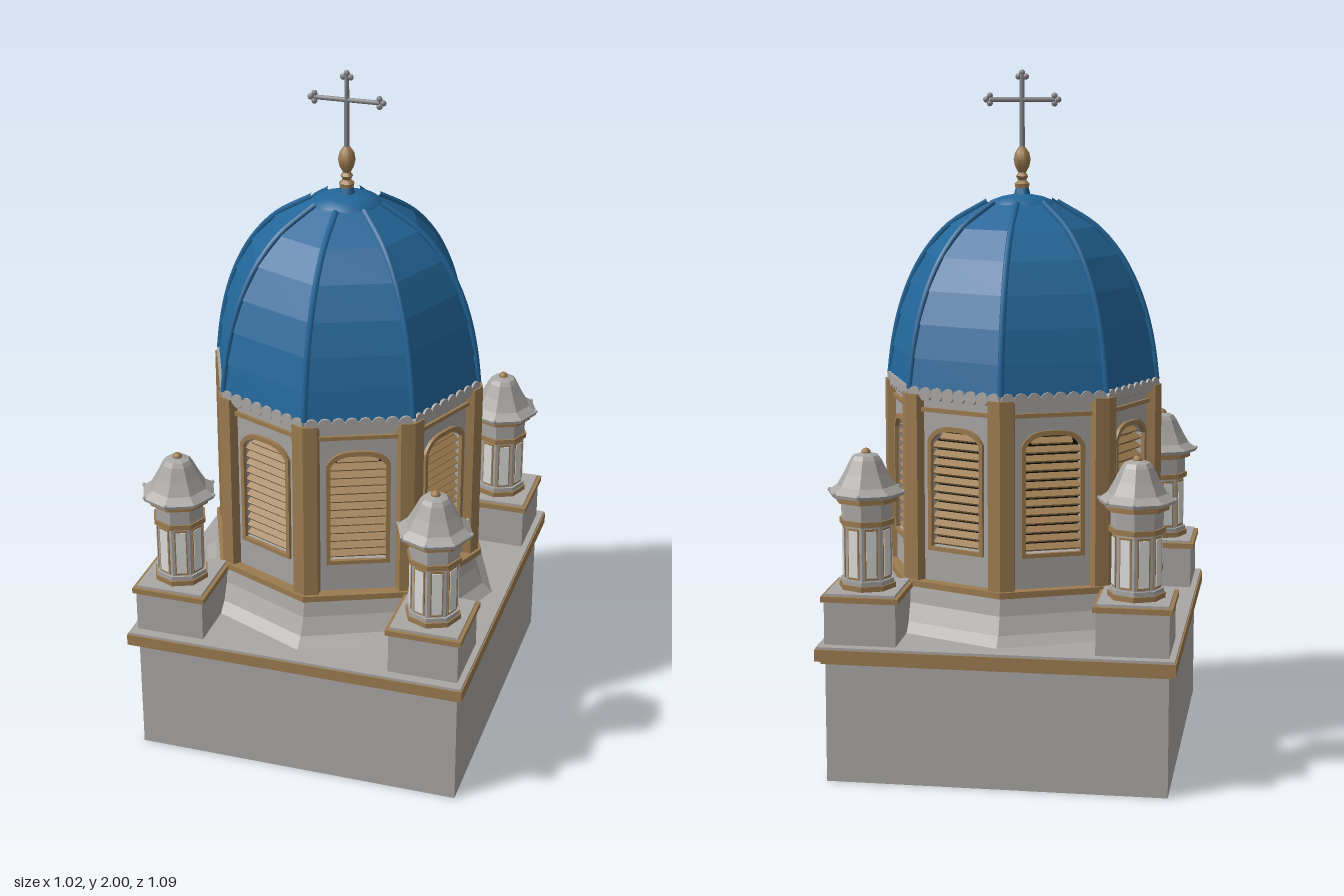
import * as THREE from 'three';
import { toCreasedNormals } from 'three/addons/utils/BufferGeometryUtils.js';

const paint = (name, color) => {
  const m = new THREE.MeshStandardMaterial({ color });
  m.name = name;
  return m;
};
const stone = paint('stone grey', 0xa9a7a4);
const trim = paint('tan trim', 0x9c7b50);
const blue = paint('dome blue', 0x226699);
const white = paint('pale panel', 0xdcdcda);
const dark = paint('window dark', 0x0c0b0a);
const metal = paint('cross grey', 0x85858a);

function add(parent, name, geometry, material, x = 0, y = 0, z = 0) {
  const mesh = new THREE.Mesh(geometry, material);
  mesh.name = name;
  mesh.position.set(x, y, z);
  parent.add(mesh);
  return mesh;
}
// Box given by its bottom and top height
const box = (p, name, mat, w, d, y0, y1, x = 0, z = 0) =>
  add(p, name, new THREE.BoxGeometry(w, y1 - y0, d), mat, x, (y0 + y1) / 2, z);
// Turned profile of [radius, height] points, lowest first; eight sides unless told otherwise
function turned(p, name, mat, pts, sides = 8) {
  const g = new THREE.LatheGeometry(pts.map(([r, y]) => new THREE.Vector2(r, y)), sides);
  return add(p, name, toCreasedNormals(g, sides > 8 ? 0.8 : 0.05), mat);
}
const prism = (p, name, mat, r, y0, y1) =>
  turned(p, name, mat, [[0, y0], [r, y0], [r, y1], [0, y1]]);
// Runs a builder in eight groups turned around the axis
function around(parent, name, offset, build) {
  for (let i = 0; i < 8; i++) {
    const g = new THREE.Group();
    g.name = name;
    g.rotation.y = offset + i * Math.PI / 4;
    parent.add(g);
    build(g);
  }
}
const extrude = (shape, depth) =>
  new THREE.ExtrudeGeometry(shape, { depth, bevelEnabled: false, curveSegments: 10 });
// Window outline with a low arched head
function arch(Type, hw, y0, ySpring, yTop) {
  const s = new Type();
  s.moveTo(-hw, y0);
  s.lineTo(hw, y0);
  s.lineTo(hw, ySpring);
  s.bezierCurveTo(hw * 0.75, yTop, hw * 0.4, yTop, 0, yTop);
  s.bezierCurveTo(-hw * 0.4, yTop, -hw * 0.75, yTop, -hw, ySpring);
  s.lineTo(-hw, y0);
  return s;
}

function buildBase(root) {
  box(root, 'baseBlock', stone, 0.972, 1.01, 0, 0.35);
  box(root, 'corniceLower', trim, 0.99, 1.05, 0.35, 0.362);
  box(root, 'cornice', trim, 1.016, 1.088, 0.362, 0.396);
  box(root, 'roofDeck', stone, 1.008, 1.08, 0.39, 0.403);
  const skirt = turned(root, 'flaredSkirt', stone,
    [[0.485, 0.4], [0.45, 0.43], [0.425, 0.48], [0.415, 0.53], [0, 0.53]]);
  skirt.scale.x = 0.96;
  prism(root, 'drumFootTrim', trim, 0.425, 0.53, 0.548);
}

function buildDrum(root) {
  const drum = new THREE.Group();
  drum.name = 'drum';
  root.add(drum);
  const R = 0.39, half = R * Math.sin(Math.PI / 8), apothem = R * Math.cos(Math.PI / 8);
  // Walls with louvred openings
  const wall = new THREE.Shape();
  wall.moveTo(-half, 0.54);
  wall.lineTo(half, 0.54);
  wall.lineTo(half, 1.1);
  wall.lineTo(-half, 1.1);
  wall.lineTo(-half, 0.54);
  wall.holes.push(arch(THREE.Path, 0.082, 0.65, 0.955, 0.99));
  const frame = arch(THREE.Shape, 0.092, 0.638, 0.96, 1.002);
  frame.holes.push(arch(THREE.Path, 0.08, 0.65, 0.955, 0.988));
  around(drum, 'drumSide', Math.PI / 8, g => {
    add(g, 'wall', extrude(wall, 0.03), stone, 0, 0, apothem - 0.03);
    add(g, 'windowFrame', extrude(frame, 0.012), trim, 0, 0, apothem - 0.002);
    box(g, 'windowBacking', dark, 0.18, 0.005, 0.64, 1.0, 0, apothem - 0.032);
    for (let i = 0; i < 13; i++) {
      const w = i === 12 ? 0.12 : 0.164;
      const slat = add(g, 'louvre', new THREE.BoxGeometry(w, 0.006, 0.024), trim,
        0, 0.664 + i * 0.0255, apothem - 0.014);
      slat.rotation.x = 0.6;
    }
    box(g, 'friezeTrim', trim, 0.24, 0.012, 1.04, 1.052, 0, apothem + 0.003);
    // Scalloped edge under the dome
    for (let i = 0; i < 8; i++) {
      const disc = new THREE.CylinderGeometry(0.02, 0.02, 0.014, 12).rotateX(Math.PI / 2);
      add(g, 'scallop', disc, stone, (i - 3.5) * 0.038, 1.092, 0.371);
    }
  });
  // Angled corner pilasters
  const plan = new THREE.Shape();
  [[0, 0.415], [0.037, 0.4], [0.037, 0.355], [-0.037, 0.355], [-0.037, 0.4]]
    .forEach(([x, r], i) => (i ? plan.lineTo(x, -r) : plan.moveTo(x, -r)));
  const pilaster = extrude(plan, 0.545).rotateX(-Math.PI / 2);
  around(drum, 'corner', 0, g => add(g, 'pilaster', pilaster, trim, 0, 0.545, 0));
}

function buildDome(root) {
  const dome = new THREE.Group();
  dome.name = 'dome';
  root.add(dome);
  const curve = [[0.397, 1.1], [0.386, 1.19], [0.366, 1.285], [0.334, 1.378],
    [0.284, 1.47], [0.212, 1.55], [0.1, 1.618]];
  // Overlapping metal bands, each lower edge standing proud
  const bands = [[0, 1.095]];
  for (let i = 0; i < curve.length - 1; i++) {
    bands.push([curve[i][0] + 0.006, curve[i][1]], curve[i + 1]);
  }
  turned(dome, 'domeShell', blue, bands);
  turned(dome, 'domeCap', blue, [[0.1, 1.612], [0.094, 1.622], [0.06, 1.635], [0.024, 1.642],
    [0.018, 1.665], [0, 1.665]], 24);
  const path = new THREE.CatmullRomCurve3(
    curve.map(([r, y]) => new THREE.Vector3(0, y + 0.003, r + 0.003)));
  const rib = new THREE.TubeGeometry(path, 24, 0.009, 6);
  around(dome, 'ribSet', 0, g => add(g, 'rib', rib, blue));
}

function buildCross(root) {
  const top = new THREE.Group();
  top.name = 'finial';
  root.add(top);
  turned(top, 'finialTurning', trim, [[0, 1.66], [0.02, 1.66], [0.022, 1.672], [0.012, 1.682],
    [0.018, 1.694], [0.011, 1.704], [0.021, 1.722], [0.025, 1.742], [0.021, 1.762],
    [0.01, 1.778], [0, 1.784]], 16);
  add(top, 'crossPost', new THREE.CylinderGeometry(0.007, 0.008, 0.215, 8), metal, 0, 1.88, 0);
  add(top, 'crossBar', new THREE.CylinderGeometry(0.007, 0.007, 0.19, 8).rotateZ(Math.PI / 2),
    metal, 0, 1.915, 0);
  // Three-lobed ends
  [[-0.095, 1.915, -1, 0], [0.095, 1.915, 1, 0], [0, 1.981, 0, 1]].forEach(([x, y, dx, dy]) => {
    [[dx, dy], [dy, dx], [-dy, -dx]].forEach(([ox, oy]) => {
      const lobe = add(top, 'crossLobe', new THREE.SphereGeometry(0.009, 10, 8), metal,
        x + ox * 0.011, y + oy * 0.011, 0);
      lobe.scale.z = 0.8;
    });
  });
}

function buildTurret(root, x, z) {
  const t = new THREE.Group();
  t.name = 'cornerTurret';
  t.position.set(x, 0, z);
  root.add(t);
  // Square pedestal
  box(t, 'pedestal', stone, 0.205, 0.215, 0.4, 0.527);
  box(t, 'pedestalTrim', trim, 0.222, 0.232, 0.527, 0.543);
  box(t, 'pedestalTop', stone, 0.2, 0.21, 0.54, 0.55);
  // Eight-sided lantern
  prism(t, 'lanternFoot', trim, 0.082, 0.548, 0.565);
  prism(t, 'lanternPlinth', stone, 0.077, 0.565, 0.578);
  prism(t, 'lanternBody', stone, 0.07, 0.578, 0.74);
  around(t, 'lanternSide', Math.PI / 8, g => {
    box(g, 'panelFrame', trim, 0.037, 0.004, 0.582, 0.728, 0, 0.0655);
    box(g, 'panel', white, 0.029, 0.004, 0.588, 0.722, 0, 0.0675);
  });
  prism(t, 'lanternBand', trim, 0.08, 0.735, 0.75);
  prism(t, 'lanternNeck', stone, 0.074, 0.75, 0.8);
  prism(t, 'eaveTrim', trim, 0.09, 0.8, 0.815);
  turned(t, 'turretRoof', stone, [[0, 0.815], [0.108, 0.818], [0.11, 0.827], [0.084, 0.845],
    [0.064, 0.88], [0.045, 0.918], [0.036, 0.93], [0.012, 0.937], [0, 0.937]]);
  around(t, 'eaveCorner', 0, g =>
    add(g, 'eaveKnob', new THREE.SphereGeometry(0.006, 6, 5), stone, 0, 0.828, 0.107));
  add(t, 'turretKnob', new THREE.SphereGeometry(0.014, 12, 8), trim, 0, 0.936, 0);
}

export function createModel() {
  const root = new THREE.Group();
  root.name = 'domedBelfry';
  buildBase(root);
  buildDrum(root);
  buildDome(root);
  buildCross(root);
  for (const sx of [-1, 1]) for (const sz of [-1, 1]) buildTurret(root, sx * 0.384, sz * 0.403);
  return root;
}
